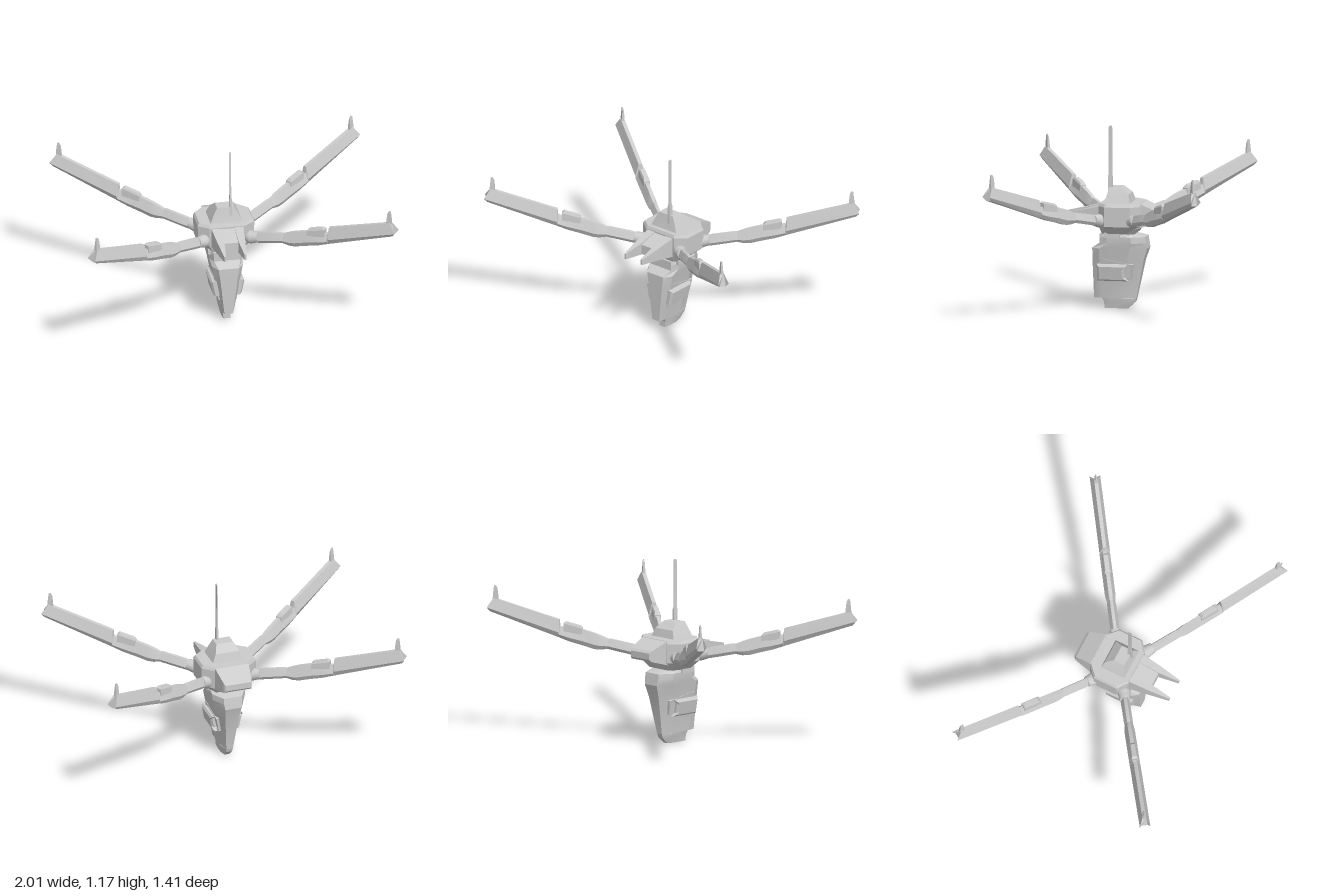
import * as THREE from 'three';
import { toCreasedNormals } from 'three/addons/utils/BufferGeometryUtils.js';

const material = new THREE.MeshStandardMaterial({ color: 0xcccccc });

function add(parent, name, geometry) {
  const mesh = new THREE.Mesh(geometry, material);
  mesh.name = name;
  parent.add(mesh);
  return mesh;
}

// Skins a list of closed rings of [x, y, z] points and caps both ends.
function loft(rings) {
  const tris = [];
  const n = rings[0].length;
  for (let i = 0; i + 1 < rings.length; i++) {
    for (let j = 0; j < n; j++) {
      const k = (j + 1) % n;
      const [a, b, c, d] = [rings[i][j], rings[i][k], rings[i + 1][k], rings[i + 1][j]];
      tris.push([a, b, c], [a, c, d]);
    }
  }
  const last = rings[rings.length - 1];
  for (let j = 1; j + 1 < n; j++) {
    tris.push([rings[0][0], rings[0][j + 1], rings[0][j]], [last[0], last[j], last[j + 1]]);
  }
  // Signed volume tells whether the faces point inwards.
  let volume = 0;
  for (const [a, b, c] of tris) {
    volume += new THREE.Vector3(...a).dot(new THREE.Vector3(...b).cross(new THREE.Vector3(...c)));
  }
  const flat = tris.flatMap(([a, b, c]) => (volume < 0 ? [...a, ...c, ...b] : [...a, ...b, ...c]));
  const geometry = new THREE.BufferGeometry();
  geometry.setAttribute('position', new THREE.Float32BufferAttribute(flat, 3));
  return toCreasedNormals(geometry, 0.35);
}

// Horizontal ring from its +x half, listed front to back as [x, z].
const levelRing = (y, half) => [
  ...half.map(([x, z]) => [x, y, z]),
  ...half.slice().reverse().map(([x, z]) => [-x, y, z]),
];

// Upright rectangle at depth z.
const rectRing = (z, x0, x1, y0, y1) => [[x0, y0, z], [x1, y0, z], [x1, y1, z], [x0, y1, z]];

function buildHull(group) {
  // y, front z, rear z, half width, front half width, rear half width
  const levels = [
    [0, 0.097, -0.056, 0.027, 0.022, 0.015],
    [0.04, 0.097, -0.1, 0.034, 0.026, 0.02],
    [0.066, 0.11, -0.11, 0.04, 0.03, 0.022],
    [0.067, 0.162, -0.11, 0.04, 0.028, 0.022],
    [0.31, 0.167, -0.16, 0.086, 0.055, 0.045],
    [0.39, 0.167, -0.186, 0.1, 0.066, 0.055],
    [0.425, 0.115, -0.18, 0.108, 0.085, 0.06],
    [0.465, 0.115, -0.173, 0.11, 0.088, 0.06],
    [0.485, 0.115, -0.08, 0.1, 0.085, 0.06],
  ];
  add(group, 'lowerHull', loft(levels.map(([y, f, r, w, wf, wr]) => levelRing(y, [
    [wf, f], [w, f - 0.05], [w, r + (f - r) * 0.3], [wr, r],
  ]))));

  for (const s of [1, -1]) {
    // Framed pod on each flank, leaning with the hull side
    const flank = new THREE.Group();
    flank.name = s > 0 ? 'leftFlank' : 'rightFlank';
    const rim = new THREE.Shape([[0.105, 0.09], [-0.1, 0.05], [-0.09, -0.045], [0.125, -0.088]]
      .map(([z, y]) => new THREE.Vector2(-z, y)));
    rim.holes.push(new THREE.Path([[0.093, 0.075], [-0.085, 0.04], [-0.077, -0.035], [0.108, -0.073]]
      .map(([z, y]) => new THREE.Vector2(-z, y))));
    const frame = add(flank, 'podFrame', new THREE.ExtrudeGeometry(rim, { depth: 0.016, bevelEnabled: false }));
    frame.rotation.y = Math.PI / 2;
    frame.position.x = -0.01;
    const podRing = (x, z0, z1, h) => [
      [x, -h, z0], [x, -h, z1 - 0.02], [x, -h + 0.02, z1], [x, h - 0.02, z1], [x, h, z1 - 0.02], [x, h, z0],
    ].map(([a, y, z]) => [a, y, z]);
    add(flank, 'flankPod', loft([
      podRing(-0.03, 0.132, -0.045, 0.054), podRing(0.02, 0.132, -0.045, 0.054), podRing(0.032, 0.118, -0.03, 0.042),
    ]));
    const lean = new THREE.Group();
    lean.add(flank);
    lean.position.set(0.069, 0.238, 0);
    flank.rotation.z = -0.19;
    const side = new THREE.Group();
    side.name = 'flankMount';
    side.add(lean);
    // A half turn would flip front and back, so the right side is mirrored.
    side.scale.x = s;
    group.add(side);

    // Hinge block under the head
    const hinge = add(group, 'hullHinge', new THREE.BoxGeometry(0.03, 0.035, 0.1));
    hinge.position.set(s * 0.103, 0.477, 0.03);
  }
}

function buildHead(group) {
  const neck = add(group, 'neck', new THREE.BoxGeometry(0.18, 0.06, 0.17));
  neck.position.set(0, 0.49, 0.01);

  const headRing = (y, w, wf, f, r) => levelRing(y, [[wf, f], [w, f - 0.05], [w, r + 0.06], [wf, r]]);
  add(group, 'headShell', loft([
    headRing(0.485, 0.115, 0.09, 0.1, -0.11),
    headRing(0.54, 0.18, 0.115, 0.118, -0.155),
    headRing(0.665, 0.183, 0.115, 0.118, -0.155),
    headRing(0.683, 0.172, 0.11, 0.11, -0.15),
  ]));

  // Tail hood sloping down behind the head
  add(group, 'tailHood', loft([
    rectRing(-0.1, -0.12, 0.12, 0.515, 0.683),
    rectRing(-0.155, -0.112, 0.112, 0.53, 0.68),
    rectRing(-0.265, -0.094, 0.094, 0.56, 0.63),
    rectRing(-0.28, -0.085, 0.085, 0.575, 0.615),
  ]));

  // Crown on top
  add(group, 'crown', loft([
    levelRing(0.675, [[0.106, 0.085], [0.106, -0.085]]),
    levelRing(0.735, [[0.079, 0.069], [0.079, -0.068]]),
    levelRing(0.778, [[0.056, 0.06], [0.056, -0.015]]),
  ]));

  // Beak with a prong on each side
  add(group, 'beak', loft([
    rectRing(0.08, -0.1, 0.1, 0.52, 0.665),
    rectRing(0.25, -0.046, 0.046, 0.555, 0.62),
  ]));
  for (const s of [1, -1]) {
    add(group, 'beakProng', loft([
      rectRing(0.08, s * 0.045, s * 0.106, 0.525, 0.668),
      rectRing(0.25, s * 0.045, s * 0.09, 0.55, 0.63),
      rectRing(0.385, s * 0.06, s * 0.072, 0.563, 0.6),
    ]));
  }

  // Antenna blade
  const blade = (y, w, t) => levelRing(y, [[t, w], [t, -w]]).map(([x, yy, z]) => [x + 0.03, yy, z + 0.056]);
  add(group, 'antenna', loft([
    blade(0.7, 0.016, 0.007), blade(0.84, 0.016, 0.007), blade(0.86, 0.012, 0.004),
    blade(1.155, 0.012, 0.003), blade(1.168, 0.008, 0.003),
  ]));
}

// One arm, built outwards along +x.
function buildArm() {
  const arm = new THREE.Group();
  arm.name = 'arm';

  const ball = add(arm, 'shoulderBall', new THREE.SphereGeometry(0.042, 16, 12));
  ball.position.set(0.185, 0.575, 0);
  const tilt = Math.atan2(0.045, 0.23);
  const collar = add(arm, 'shoulderCollar', new THREE.CylinderGeometry(0.034, 0.042, 0.05, 12));
  collar.rotation.z = tilt - Math.PI / 2;
  collar.position.set(0.215, 0.58, 0);

  const section = ([u, y0, y1, w, lean = 0]) => [
    [u, y1, -w * 0.35], [u, y1, w * 0.35],
    [u + lean, y0 + (y1 - y0) * 0.3, w], [u + lean * 0.5, y0, w * 0.6],
    [u + lean * 0.5, y0, -w * 0.6], [u + lean, y0 + (y1 - y0) * 0.3, -w],
  ];
  add(arm, 'upperArm', loft([
    [0.21, 0.55, 0.605, 0.026], [0.25, 0.553, 0.622, 0.029],
    [0.4, 0.583, 0.65, 0.029], [0.43, 0.59, 0.645, 0.025],
  ].map(section)));
  add(arm, 'forearm', loft([
    [0.4, 0.588, 0.642, 0.025], [0.46, 0.58, 0.668, 0.034], [0.5, 0.582, 0.682, 0.034],
    [0.57, 0.602, 0.702, 0.034], [0.66, 0.625, 0.712, 0.034], [0.725, 0.648, 0.718, 0.034],
    [0.73, 0.65, 0.762, 0.034], [1.155, 0.8, 0.886, 0.034, 0.04],
  ].map(section)));

  // Raised block on the forearm
  add(arm, 'forearmBlock', loft([
    levelRing(0.67, [[0.06, 0.022], [0.06, -0.022]]),
    levelRing(0.725, [[0.06, 0.02], [0.06, -0.02]]),
    levelRing(0.738, [[0.045, 0.014], [0.045, -0.014]]),
  ].map((ring) => ring.map(([x, y, z]) => [x + 0.64, y + x * 0.25, z]))));

  // Upright fin at the tip
  const fin = (y, u0, u1, t) => [[u0, y, t], [u1, y, t], [u1, y, -t], [u0, y, -t]];
  add(arm, 'tipFin', loft([
    fin(0.85, 1.125, 1.162, 0.009), fin(0.9, 1.127, 1.16, 0.008),
    fin(0.95, 1.133, 1.155, 0.005), fin(0.965, 1.142, 1.154, 0.003),
  ]));
  return arm;
}

export function createModel() {
  const model = new THREE.Group();
  model.name = 'hoverDrone';
  buildHull(model);
  buildHead(model);
  // Four arms in an X
  for (const sx of [1, -1]) {
    for (const sz of [1, -1]) {
      const arm = buildArm();
      arm.name = `${sz > 0 ? 'front' : 'rear'}${sx > 0 ? 'Left' : 'Right'}Arm`;
      arm.rotation.y = Math.atan2(-sz * 0.566, sx * 0.824);
      model.add(arm);
    }
  }
  return model;
}
